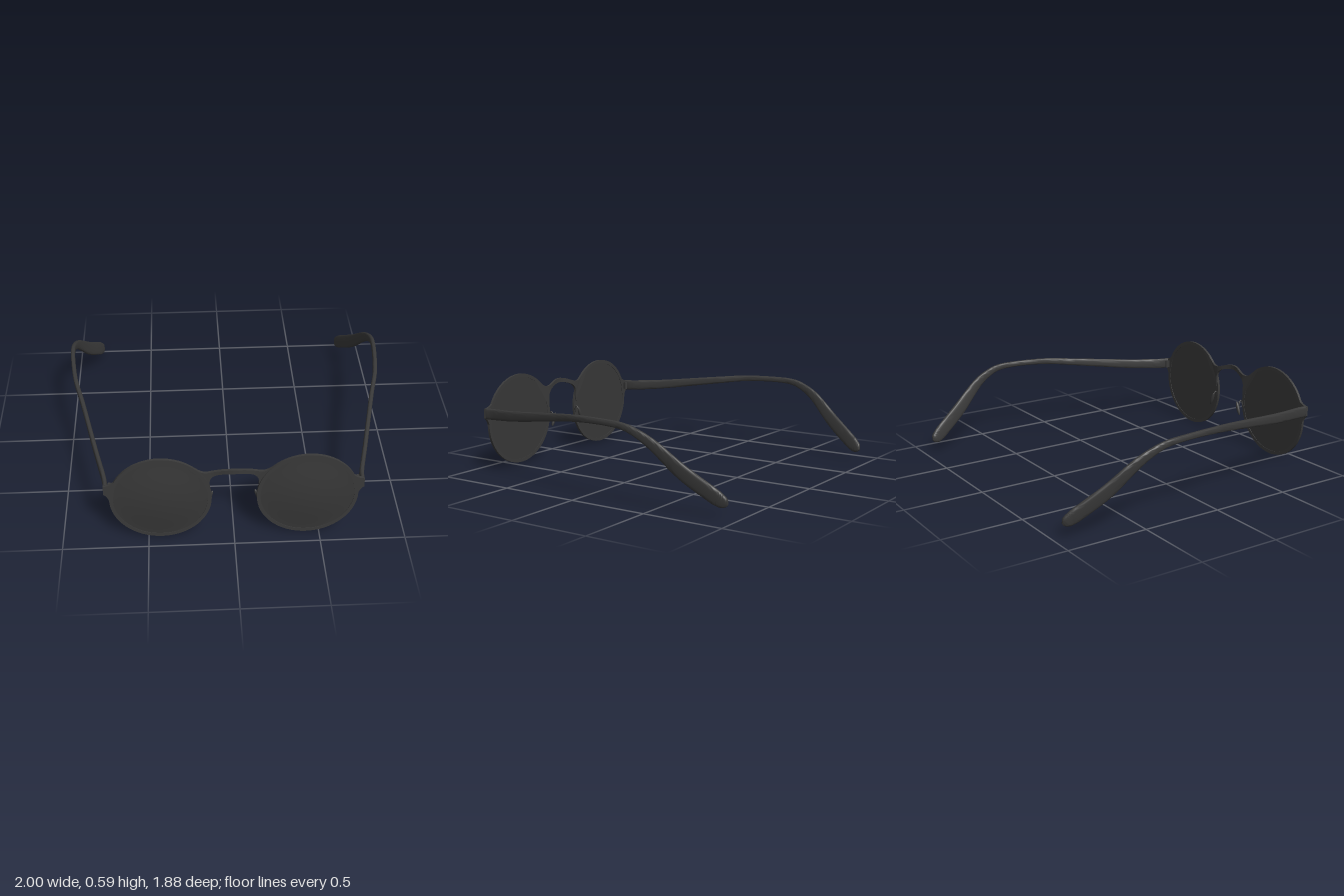
import * as THREE from 'three';
import { toCreasedNormals } from 'three/addons/utils/BufferGeometryUtils.js';

const frameMat = new THREE.MeshStandardMaterial({ color: 0x393939 });
frameMat.name = 'dark frame';
const lensMat = new THREE.MeshStandardMaterial({ color: 0x373737 });
lensMat.name = 'dark lens';

const LENS_X = 0.422, LENS_Y = 0.293, RIM_R = 0.293, LENS_R = 0.271;
const BACK = 0.902, DEPTH = 0.016;

function part(name, geometry, material = frameMat) {
  const mesh = new THREE.Mesh(geometry, material);
  mesh.name = name;
  return mesh;
}

function plate(shape, curveSegments = 32) {
  return new THREE.ExtrudeGeometry(shape, { depth: DEPTH, bevelEnabled: false, curveSegments })
    .translate(0, 0, BACK);
}

// Flat ring around the lens
function rim(s) {
  const shape = new THREE.Shape().absarc(s * LENS_X, LENS_Y, RIM_R, 0, Math.PI * 2);
  shape.holes.push(new THREE.Path().absarc(s * LENS_X, LENS_Y, LENS_R, 0, Math.PI * 2, true));
  return part('rim', toCreasedNormals(plate(shape), 0.6));
}

// Lens with a flat back and a softly domed front
function lens(s) {
  const profile = [[0, 0], [LENS_R, 0], [LENS_R, 0.01]];
  for (let i = 1; i <= 16; i++) {
    const r = 1 - i / 16;
    profile.push([r * LENS_R, 0.01 + 0.023 * Math.pow(1 - r * r, 1.4)]);
  }
  const g = new THREE.LatheGeometry(profile.map(p => new THREE.Vector2(...p)), 64);
  g.rotateX(Math.PI / 2).translate(s * LENS_X, LENS_Y, BACK + 0.003);
  return part('lens', toCreasedNormals(g, 0.6), lensMat);
}

// Arched bridge, cut as a plate and then bowed forward in the middle
function bridge() {
  const top = [[-0.29, 0.552], [-0.235, 0.517], [-0.19, 0.482], [-0.15, 0.472], [-0.1, 0.484],
    [-0.05, 0.5], [0, 0.506]];
  const low = [[0, 0.478], [-0.05, 0.472], [-0.1, 0.456], [-0.128, 0.435], [-0.14, 0.405],
    [-0.139, 0.36], [-0.145, 0.33]];
  const mirrored = pts => pts.concat(pts.slice().reverse().filter(p => p[0] !== 0).map(([x, y]) => [-x, y]));
  const smooth = pts => new THREE.SplineCurve(pts.map(p => new THREE.Vector2(...p))).getPoints(64);
  const upper = smooth(mirrored(top));
  const lower = smooth(mirrored(low.slice().reverse())).reverse();

  // Strip between both edges, front and back, closed by walls
  const bow = x => {
    const a = Math.abs(x);
    return a < 0.14 ? 0.004 + 0.012 * Math.cos(Math.PI * a / 0.14)
      : -0.008 * Math.max(0, 1 - (a - 0.14) / 0.08);
  };
  const pos = [], index = [];
  const n = upper.length;
  lower.reverse();
  for (let i = 0; i < n; i++) {
    // Corners: upper front, lower front, lower back, upper back
    [[upper[i], 1], [lower[i], 1], [lower[i], 0], [upper[i], 0]].forEach(([p, f]) =>
      pos.push(p.x, p.y, BACK + bow(p.x) + f * DEPTH));
    if (i === n - 1) break;
    for (let k = 0; k < 4; k++) {
      const a = i * 4 + k, b = i * 4 + (k + 1) % 4;
      index.push(a, b, a + 4, b, b + 4, a + 4);
    }
  }
  const g = new THREE.BufferGeometry();
  g.setAttribute('position', new THREE.Float32BufferAttribute(pos, 3));
  g.setIndex(index);
  return part('bridge', toCreasedNormals(g, 0.6));
}

// Small flared lug at the outer edge of the rim
function endPiece(s) {
  const shape = new THREE.Shape();
  shape.moveTo(s * 0.672, 0.437);
  shape.quadraticCurveTo(s * 0.695, 0.405, s * 0.744, 0.4);
  shape.lineTo(s * 0.746, 0.34);
  shape.quadraticCurveTo(s * 0.718, 0.325, s * 0.708, 0.265);
  shape.lineTo(s * 0.692, 0.3);
  return part('endPiece', toCreasedNormals(plate(shape, 8), 0.6));
}

// Hinge barrel and its leaf behind the lug
function hinge(s) {
  const group = new THREE.Group();
  group.name = 'hinge';
  const barrel = part('hingeBarrel', new THREE.CylinderGeometry(0.01, 0.01, 0.05, 16));
  barrel.position.set(s * 0.709, 0.368, 0.882);
  const leaf = part('hingeLeaf', new THREE.BoxGeometry(0.03, 0.045, 0.02));
  leaf.position.set(s * 0.717, 0.368, 0.895);
  group.add(barrel, leaf);
  return group;
}

// Temple arm: rounded sections swept along a path [x, y, z, height, thickness]
function temple(s) {
  const keys = [
    [0.733, 0.369, 0.903, 0.07, 0.025], [0.743, 0.373, 0.82, 0.069, 0.027],
    [0.797, 0.392, 0.6, 0.063, 0.027], [0.892, 0.443, 0.2, 0.048, 0.027],
    [0.944, 0.466, 0, 0.04, 0.027], [0.973, 0.473, -0.2, 0.036, 0.027],
    [0.985, 0.466, -0.35, 0.04, 0.027], [0.98, 0.433, -0.45, 0.05, 0.028],
    [0.962, 0.371, -0.55, 0.066, 0.028], [0.918, 0.24, -0.7, 0.088, 0.03],
    [0.867, 0.133, -0.85, 0.09, 0.032], [0.853, 0.105, -0.89, 0.083, 0.031],
    [0.843, 0.086, -0.92, 0.062, 0.028], [0.838, 0.076, -0.936, 0.018, 0.012],
  ];
  const curve = f => new THREE.CatmullRomCurve3(keys.map(f), false, 'catmullrom');
  const path = curve(k => new THREE.Vector3(s * k[0], k[1], k[2]));
  const size = curve(k => new THREE.Vector3(k[3], k[4], 0));
  const STEPS = 78, SIDES = 20;
  const pos = [], index = [];
  const soft = v => Math.sign(v) * Math.pow(Math.abs(v), 0.6);
  for (let i = 0; i <= STEPS; i++) {
    const t = i / STEPS, c = path.getPoint(t), d = size.getPoint(t);
    const tangent = path.getTangent(t);
    const up = new THREE.Vector3(0, -tangent.z, tangent.y).normalize();
    const side = tangent.clone().cross(up).normalize();
    for (let j = 0; j < SIDES; j++) {
      const a = j / SIDES * Math.PI * 2;
      const p = c.clone().addScaledVector(side, soft(Math.cos(a)) * d.y / 2)
        .addScaledVector(up, soft(Math.sin(a)) * d.x / 2);
      pos.push(p.x, p.y, p.z);
      if (i === STEPS) continue;
      const q = i * SIDES + j, r = i * SIDES + (j + 1) % SIDES;
      index.push(q, q + SIDES, r, r, q + SIDES, r + SIDES);
    }
  }
  // End caps
  const last = STEPS * SIDES;
  for (let j = 1; j < SIDES - 1; j++) index.push(0, j, j + 1, last, last + j + 1, last + j);
  const g = new THREE.BufferGeometry();
  g.setAttribute('position', new THREE.Float32BufferAttribute(pos, 3));
  g.setIndex(index);
  return part('temple', toCreasedNormals(g, 0.8));
}

// Nose pad on a bent wire
function nosePad(s) {
  const group = new THREE.Group();
  group.name = 'nosePad';
  const pad = part('pad', new THREE.SphereGeometry(1, 20, 14));
  pad.scale.set(0.012, 0.048, 0.011);
  pad.position.set(s * 0.14, 0.246, 0.859);
  pad.rotation.z = s * 0.38;
  const wirePath = new THREE.CatmullRomCurve3([
    [0.143, 0.24, 0.908], [0.138, 0.265, 0.9], [0.134, 0.29, 0.893], [0.134, 0.296, 0.884],
    [0.135, 0.285, 0.874], [0.139, 0.25, 0.863],
  ].map(([x, y, z]) => new THREE.Vector3(s * x, y, z)));
  group.add(pad, part('padWire', new THREE.TubeGeometry(wirePath, 24, 0.0045, 8)));
  return group;
}

export function createModel() {
  const model = new THREE.Group();
  model.name = 'sunglasses';
  model.add(bridge());
  for (const s of [1, -1]) {
    const half = new THREE.Group();
    half.name = s > 0 ? 'leftSide' : 'rightSide';
    half.add(rim(s), lens(s), endPiece(s), hinge(s), temple(s), nosePad(s));
    model.add(half);
  }
  return model;
}
